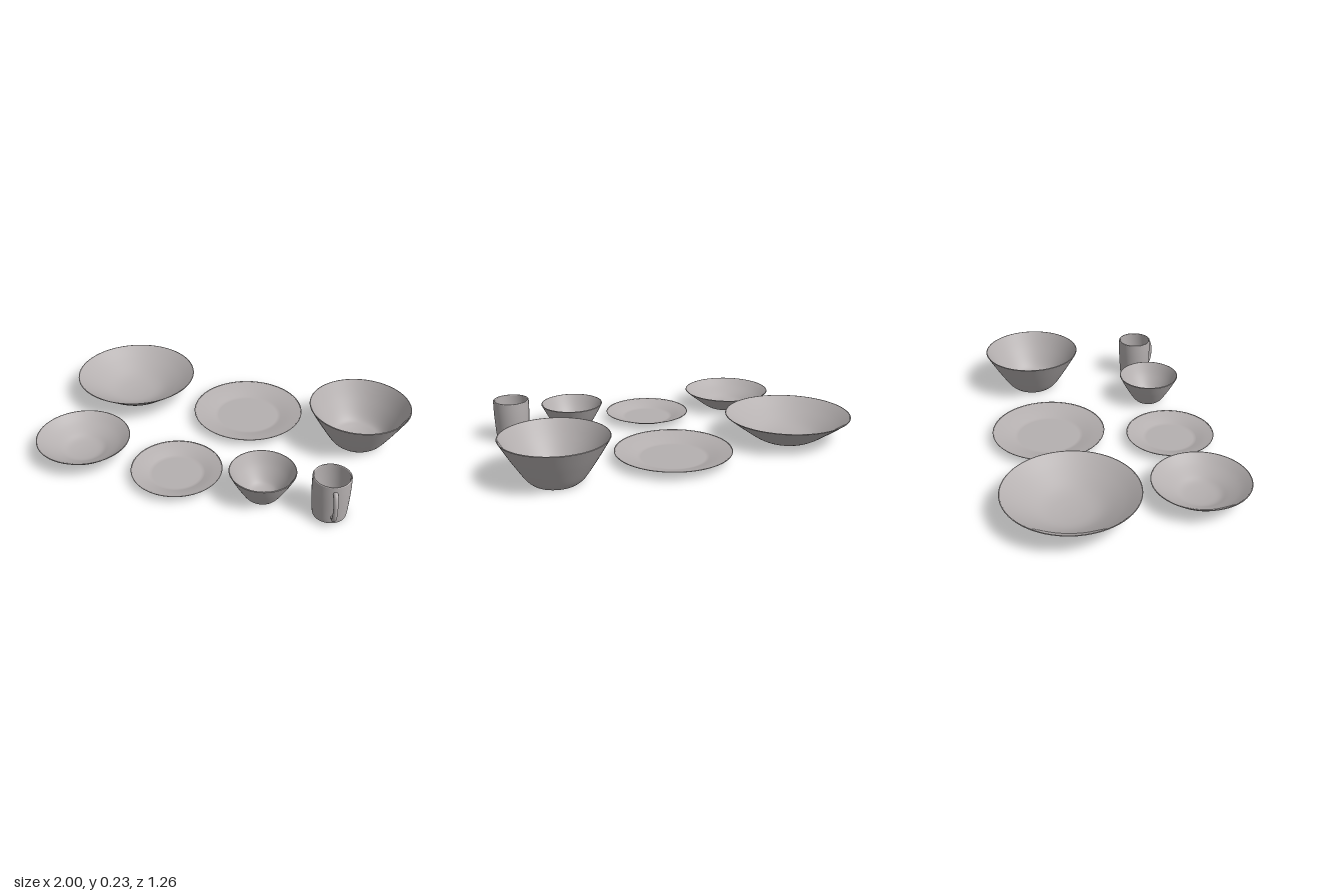
import * as THREE from 'three';
import { mergeGeometries } from 'three/addons/utils/BufferGeometryUtils.js';

const SEGMENTS = 72;
const stoneware = new THREE.MeshStandardMaterial({ color: 0xb5b0b0, side: THREE.DoubleSide });
stoneware.name = 'warm grey stoneware';

const vectors = (points) => points.map(([r, y]) => new THREE.Vector2(r, y));
const smooth = (points, n = 16) => new THREE.SplineCurve(vectors(points)).getPoints(n);

// Rounded lip between the outer wall (radius R) and the inner wall (radius R - t)
function lip(R, h, t) {
  return Array.from({ length: 9 }, (_, i) => {
    const a = (Math.PI * i) / 8;
    return new THREE.Vector2(R - t / 2 + (Math.cos(a) * t) / 2, h - t / 2 + (Math.sin(a) * t) / 2);
  });
}

// Separate lathes per section keep the foot edge crisp
function revolve(sections) {
  return mergeGeometries(sections.map((s) => new THREE.LatheGeometry(s, SEGMENTS)));
}

function addPiece(group, name, geometry, x, z) {
  const mesh = new THREE.Mesh(geometry, stoneware);
  mesh.name = name;
  mesh.position.set(x, 0, z);
  group.add(mesh);
  return mesh;
}

// Bowl: flat foot, rounded heel, nearly straight wall, round hollow
function bowl(R, h, foot, heelR, heelY, t = 0.006) {
  const midR = (R + heelR) / 2 + 0.004, midY = (h + heelY) / 2, top = h - t / 2;
  return revolve([
    vectors([[0, 0], [foot, 0]]),
    smooth([[foot, 0], [heelR, heelY], [midR, midY], [R, top]]),
    lip(R, h, t),
    smooth([[R - t, top], [midR - t, midY + t * 0.8], [heelR - t, heelY + t * 2.8],
      [foot * 0.85, t + heelY * 0.52], [foot * 0.4, t + heelY * 0.1], [0, t]], 30),
  ]);
}

// Plate: flat foot, shallow flaring rim, softly turned well
function plate(R, h, foot, well, t = 0.005) {
  const top = h - t / 2, floor = 0.01;
  return revolve([
    vectors([[0, 0], [foot, 0]]),
    smooth([[foot, 0], [foot + 0.25 * (R - foot), h * 0.24], [R, top]]),
    lip(R, h, t),
    [
      ...smooth([[R - t, top], [(R + well) / 2, (h + floor) / 2 + 0.001], [well + 0.008, floor + 0.0025]]),
      ...vectors([[well, floor + 0.0006], [well - 0.008, floor], [0, floor]]),
    ],
  ]);
}

// Mug body: straight sides easing in toward the foot
function mugBody(R, h, foot, t = 0.008) {
  const top = h - t / 2;
  return revolve([
    vectors([[0, 0], [foot, 0]]),
    smooth([[foot, 0], [foot + 0.004, 0.02], [R - 0.003, 0.1], [R, 0.17], [R, top]]),
    lip(R, h, t),
    smooth([[R - t, top], [R - t, 0.17], [R - t - 0.003, 0.1], [foot - t + 0.002, 0.02], [foot - t, 0.01]]),
    vectors([[foot - t, 0.01], [0, 0.01]]),
  ]);
}

export function createModel() {
  const group = new THREE.Group();
  group.name = 'dinnerware set';
  const back = -0.284, front = 0.376;

  // Back row
  addPiece(group, 'large shallow bowl', bowl(0.348, 0.14, 0.148, 0.192, 0.024), -0.652, back);
  addPiece(group, 'large plate', plate(0.313, 0.05, 0.163, 0.18), 0.069, back);
  addPiece(group, 'large deep bowl', bowl(0.278, 0.233, 0.122, 0.155, 0.032), 0.721, back);

  // Front row
  addPiece(group, 'small shallow bowl', bowl(0.255, 0.105, 0.114, 0.145, 0.018), -0.651, front);
  addPiece(group, 'small plate', plate(0.243, 0.047, 0.127, 0.138), -0.095, front);
  addPiece(group, 'small deep bowl', bowl(0.173, 0.163, 0.073, 0.094, 0.022), 0.383, front);

  // Mug with a bowed handle, its ends sunk into the wall, turned toward the front left
  const mug = new THREE.Group();
  mug.name = 'mug';
  mug.position.set(0.738, 0, front);
  group.add(mug);
  addPiece(mug, 'mugBody', mugBody(0.097, 0.233, 0.084), 0, 0);
  const path = new THREE.CatmullRomCurve3([
    [0.092, 0.196], [0.109, 0.194], [0.124, 0.167], [0.13, 0.12], [0.124, 0.069], [0.109, 0.045], [0.085, 0.043],
  ].map(([r, y]) => new THREE.Vector3(0, y, r)));
  const handle = addPiece(mug, 'mugHandle', new THREE.TubeGeometry(path, 40, 0.012, 14), 0, 0);
  handle.rotation.y = Math.atan2(0.42, 0.91);

  return group;
}
